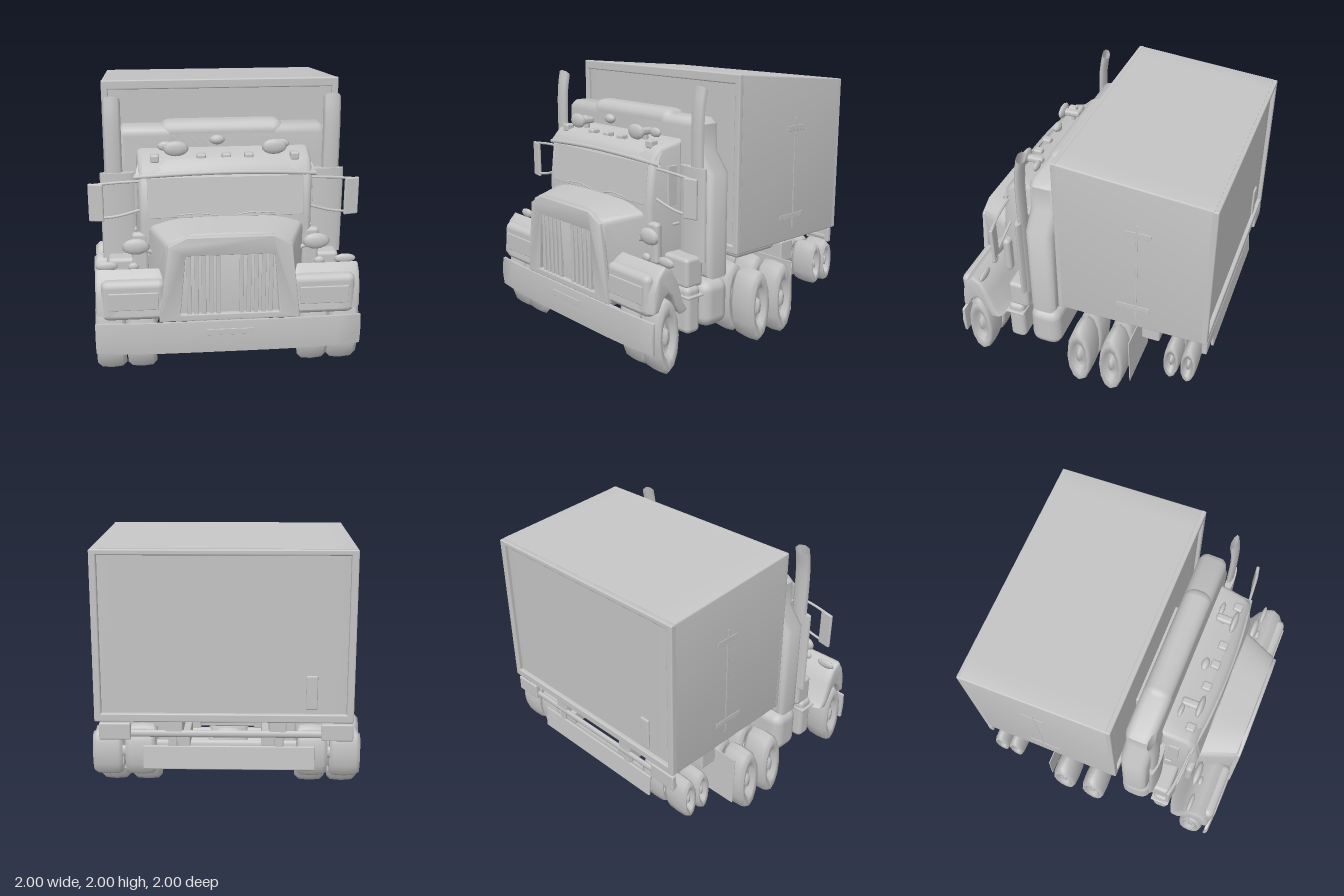
import * as THREE from 'three';
import { toCreasedNormals } from 'three/addons/utils/BufferGeometryUtils.js';
import { RoundedBoxGeometry } from 'three/addons/geometries/RoundedBoxGeometry.js';

export function createModel() {
  const model = new THREE.Group();
  model.name = 'haulageTruck';
  const grey = new THREE.MeshStandardMaterial({ color: 0xc4c4c4, side: THREE.DoubleSide });
  grey.name = 'plain grey';

  const put = (name, geo, x = 0, y = 0, z = 0) => {
    const m = new THREE.Mesh(geo, grey);
    m.name = name;
    m.position.set(x, y, z);
    model.add(m);
    return m;
  };
  // Box given by its limits on each axis
  const box = (name, x0, x1, y0, y1, z0, z1, r = 0.01) => {
    const w = x1 - x0, h = y1 - y0, d = z1 - z0;
    const rad = Math.min(r, w * 0.45, h * 0.45, d * 0.45);
    return put(name, new RoundedBoxGeometry(w, h, d, 2, rad), (x0 + x1) / 2, (y0 + y1) / 2, (z0 + z1) / 2);
  };
  const polygon = pts => new THREE.Shape(pts.map(p => new THREE.Vector2(...p)));
  // Move every vertex by a rule
  const bend = (geo, rule) => {
    const p = geo.attributes.position, v = new THREE.Vector3();
    for (let i = 0; i < p.count; i++) {
      rule(v.fromBufferAttribute(p, i));
      p.setXYZ(i, v.x, v.y, v.z);
    }
    return geo;
  };
  // Side profile in (z, y) extruded from x0 to x1, with an optional vertex rule
  const sideExtrude = (name, pts, x0, x1, bevel, rule = () => {}) => {
    const depth = x1 - x0 - 2 * bevel;
    const geo = new THREE.ExtrudeGeometry(polygon(pts), {
      depth, steps: 12, bevelEnabled: true, bevelSize: bevel, bevelThickness: bevel,
      bevelOffset: -bevel, bevelSegments: 3
    });
    geo.translate(0, 0, -depth / 2).rotateY(-Math.PI / 2).translate((x0 + x1) / 2, 0, 0);
    return put(name, toCreasedNormals(bend(geo, rule), 0.8));
  };
  // Front profile in (x, y) extruded from z0 to z1
  const frontExtrude = (name, shape, z0, z1, bevel) => {
    const geo = new THREE.ExtrudeGeometry(shape, {
      depth: z1 - z0 - 2 * bevel, bevelEnabled: true, bevelSize: bevel,
      bevelThickness: bevel, bevelOffset: -bevel, bevelSegments: 5
    });
    return put(name, toCreasedNormals(geo, 0.8), 0, 0, z0 + bevel);
  };
  const tube = (name, pts, r) => put(name, new THREE.TubeGeometry(
    new THREE.CatmullRomCurve3(pts.map(p => new THREE.Vector3(...p))), 16, r, 8));
  const rodX = (name, x0, x1, y, z, ry, rz) => {
    const m = put(name, new THREE.CylinderGeometry(1, 1, x1 - x0, 14).rotateZ(Math.PI / 2), (x0 + x1) / 2, y, z);
    m.scale.set(1, ry, rz);
  };
  const blob = (name, x, y, z, rx, ry, rz) =>
    put(name, new THREE.SphereGeometry(1, 10, 8), x, y, z).scale.set(rx, ry, rz);

  // Wheel: lathed tyre with a dished rim, shortened along z
  const tyre = new THREE.LatheGeometry([
    [0, -0.3], [0.5, -0.3], [0.58, -0.46], [0.85, -0.5], [0.97, -0.36], [1, 0],
    [0.97, 0.36], [0.85, 0.5], [0.58, 0.46], [0.5, 0.28], [0.25, 0.24], [0.2, 0.4], [0, 0.42]
  ].map(p => new THREE.Vector2(...p)), 12).rotateZ(-Math.PI / 2);
  const wheel = (name, s, x0, x1, y, z, ry, rz) => {
    const m = put(name, tyre, s * (x0 + x1) / 2, y, z);
    m.scale.set(x1 - x0, ry, rz);
    if (s < 0) m.rotation.y = Math.PI;
  };

  // Cargo box with sloping roof, end walls set back inside frames
  sideExtrude('cargoBox', [[0.115, 0.71], [0.115, 1.998], [-0.97, 1.903], [-0.97, 0.71]], -0.88, 0.91, 0.012);
  box('cargoFrontSeal', -0.38, 0.45, 0.8, 1.26, 0.1, 0.175);
  box('frontHeader', -0.88, 0.91, 1.93, 2.0, 0.1, 0.14);
  box('frontSill', -0.88, 0.91, 0.71, 0.77, 0.1, 0.14);
  box('rearSill', -0.88, 0.91, 0.71, 0.77, -1, -0.95);
  box('rearHeader', -0.88, 0.91, 1.86, 1.9, -1, -0.95);
  for (const x of [-0.88, 0.86]) {
    box('frontPost', x, x + 0.05, 0.71, 1.99, 0.1, 0.14);
    box('rearPost', x, x + 0.05, 0.71, 1.9, -1, -0.95);
  }
  box('rearLatch', -0.63, -0.55, 0.8, 1.04, -0.985, -0.965);
  for (const x of [-0.883, 0.908]) {
    box('sideDoorBar', x, x + 0.005, 0.8, 1.65, -0.475, -0.46);
    box('sideDoorHinge', x, x + 0.005, 1.55, 1.59, -0.57, -0.38);
    box('sideDoorHinge', x, x + 0.005, 0.88, 0.92, -0.57, -0.32);
  }

  // Bonnet, narrowing to the front and rounded towards the sides
  sideExtrude('bonnet', [[0.66, 0.44], [0.96, 0.44], [0.985, 1.05], [0.965, 1.085], [0.66, 1.12]], -0.5, 0.5, 0.03, v => {
    if (v.y > 0.95) v.y -= 0.07 * Math.pow(Math.abs(v.x) / 0.5, 4);
    v.x *= 1.14 - 0.26 * (v.z - 0.66) / 0.32;
  });
  // Grille surround and two groups of bars
  const surround = polygon([[-0.5, 0.44], [0.5, 0.44], [0.43, 1.0], [0.3, 1.07], [-0.3, 1.07], [-0.43, 1.0]]);
  surround.holes.push(new THREE.Path([[-0.35, 0.49], [-0.31, 0.93], [0.31, 0.93], [0.35, 0.49]].map(p => new THREE.Vector2(...p))));
  frontExtrude('grilleSurround', surround, 0.955, 0.998, 0.01);
  for (const s of [-1, 1])
    for (let i = 0; i < 5; i++) {
      const x = s * (0.08 + i * 0.052);
      box('grilleBar', x - 0.015, x + 0.015, 0.48, 0.94, 0.965, 0.99, 0.006);
    }

  // Cab, wider at the back, with windscreen and wipers
  sideExtrude('cab', [[0.41, 0.55], [0.67, 0.55], [0.705, 1.09], [0.66, 1.45], [0.6, 1.51], [0.41, 1.55]], -0.65, 0.65, 0.03, v => {
    v.x *= 1 - Math.max(0, v.z - 0.5) * 0.3;
    if (v.y > 1.42) v.x *= 1 - (v.y - 1.42) * 0.3;
  });
  box('windscreen', -0.56, 0.56, 1.11, 1.4, 0.681, 0.69, 0.004).rotation.x = -0.124;
  for (const s of [-1, 1])
    tube('wiper', [[s * 0.06, 1.12, 0.705], [s * 0.2, 1.14, 0.705], [s * 0.35, 1.13, 0.705]], 0.005);
  // Sun visor bowed forward in the middle
  put('sunVisor', toCreasedNormals(bend(new THREE.PlaneGeometry(1.3, 1, 12, 3), v => {
    const t = v.y + 0.5, e = (v.x / 0.65) ** 2;
    v.x *= 1 - 0.05 * t;
    v.y = 1.425 - 0.03 * e + 0.1 * t;
    v.z = 0.7 - 0.05 * e - 0.08 * t * t;
  }), 1));
  tube('visorLip', [[-0.65, 1.4, 0.645], [-0.35, 1.425, 0.68], [0, 1.435, 0.69], [0.35, 1.425, 0.68], [0.65, 1.4, 0.645]], 0.016);
  // Roof lights, beacon and horns
  for (const x of [-0.5, -0.17, 0.01, 0.17, 0.5])
    box('roofLight', x - 0.032, x + 0.032, 1.49, 1.55, 0.55, 0.62, 0.015);
  blob('roofBeacon', -0.05, 1.63, 0.52, 0.055, 0.035, 0.03);
  for (const s of [-1, 1]) {
    blob('hornBell', s * 0.35, 1.59, 0.6, 0.09, 0.055, 0.025);
    blob('hornBell', s * 0.42, 1.58, 0.48, 0.06, 0.035, 0.02);
    box('hornTrumpet', s * 0.35 - 0.03, s * 0.35 + 0.03, 1.56, 1.61, 0.46, 0.6, 0.02);
    box('hornFoot', s * 0.35 - 0.02, s * 0.35 + 0.02, 1.5, 1.58, 0.5, 0.53);
  }

  // Sleeper with well rounded edges and a raised middle roof
  frontExtrude('sleeper', polygon([[-0.88, 0.57], [0.88, 0.57], [0.88, 1.33], [0.77, 1.47], [0.77, 1.66],
    [0.72, 1.7], [-0.72, 1.7], [-0.77, 1.66], [-0.77, 1.47], [-0.88, 1.33]]), 0.18, 0.395, 0.06);
  box('sleeperRoof', -0.46, 0.46, 1.3, 1.735, 0.185, 0.395, 0.08);

  // Thin front bumper bowed slightly back at the ends, with plate
  sideExtrude('bumper', [[0.965, 0.185], [0.985, 0.185], [0.996, 0.3], [0.985, 0.425], [0.965, 0.425]], -0.95, 0.95, 0.006, v => {
    const e = (v.x / 0.95) ** 4;
    v.z -= 0.02 * e;
    if (v.y < 0.3) v.y += 0.015 * e;
  });
  box('numberPlate', -0.17, 0.17, 0.325, 0.37, 0.991, 1.0, 0.002);

  for (const s of [-1, 1]) {
    // Mirrored box limits
    const sbox = (name, a, b, ...rest) => s > 0 ? box(name, a, b, ...rest) : box(name, -b, -a, ...rest);
    // Front wing, drawn in towards its outer edge
    const wing = [[0.975, 0.48], [0.965, 0.62], [0.92, 0.73], [0.85, 0.79], [0.77, 0.75], [0.7, 0.64], [0.65, 0.5],
      [0.6, 0.44], [0.68, 0.42], [0.74, 0.5], [0.78, 0.57], [0.82, 0.59], [0.87, 0.56], [0.92, 0.48]];
    sideExtrude('frontWing', wing, s > 0 ? 0.46 : -0.94, s > 0 ? 0.94 : -0.46, 0.02, v => {
      const e = Math.max(0, Math.abs(v.x) - 0.75) / 0.19;
      v.z += (0.82 - v.z) * 0.2 * e * e;
    });
    // Lamp pod and lamps
    sbox('lampPod', 0.45, 0.9, 0.44, 0.74, 0.86, 0.97, 0.05);
    sbox('headlamp', 0.5, 0.85, 0.53, 0.66, 0.965, 0.98, 0.006);
    blob('wingLamp', s * 0.65, 0.915, 0.74, 0.1, 0.06, 0.03);
    blob('wingMarker', s * 0.86, 0.785, 0.77, 0.08, 0.035, 0.02);
    blob('wingMarker', s * 0.67, 0.78, 0.78, 0.04, 0.03, 0.02);
    tube('lampBracket', [[s * 0.5, 0.85, 0.72], [s * 0.57, 0.88, 0.73], [s * 0.65, 0.9, 0.74]], 0.015);
    // Door details
    sbox('doorWindow', 0.63, 0.65, 1.1, 1.38, 0.48, 0.56, 0.003);
    sbox('airCleaner', 0.56, 0.68, 0.7, 1.0, 0.64, 0.7, 0.03);
    sbox('doorHandle', 0.64, 0.66, 0.95, 0.97, 0.46, 0.52);
    // Exhaust muffler and stack
    put('muffler', new THREE.CylinderGeometry(1, 1, 0.66, 16), s * 0.77, 1.05, 0.44).scale.set(0.13, 1, 0.03);
    const stack = tube('exhaustStack', [[0, 0.7, 0], [0, 1.2, 0], [0, 1.68, 0], [0, 1.8, -0.02], [0, 1.91, -0.07]], 0.065);
    stack.position.set(s * 0.8, 0, 0.43);
    stack.scale.set(1, 1, 0.4);
    // Mirror on two arms
    sbox('mirror', 0.87, 0.98, 1.07, 1.35, 0.6, 0.625, 0.01).rotation.y = s * 0.2;
    for (const y of [1.11, 1.36])
      tube('mirrorArm', [[s * 0.6, y + (y < 1.2 ? 0.05 : 0.01), 0.64], [s * 0.78, y, 0.63], [s * 0.95, y - 0.02, 0.61]], 0.01);
    // Steps, lower cab panel and fuel tank
    sbox('stepBox', 0.5, 0.88, 0.21, 0.56, 0.46, 0.59, 0.04);
    sbox('stepTread', 0.6, 0.9, 0.48, 0.5, 0.45, 0.6);
    sbox('underCabPanel', 0.4, 0.86, 0.54, 0.76, 0.42, 0.58, 0.03);
    sbox('fuelTank', 0.35, 0.88, 0.2, 0.55, 0.17, 0.415, 0.08);
    // Wheels
    wheel('frontWheelInner', s, 0.52, 0.73, 0.285, 0.82, 0.28, 0.1);
    wheel('frontWheelOuter', s, 0.74, 0.95, 0.285, 0.82, 0.28, 0.1);
    for (const z of [-0.04, -0.3]) {
      wheel('driveWheelInner', s, 0.52, 0.75, 0.295, z, 0.28, 0.1);
      wheel('driveWheelOuter', s, 0.77, 1.0, 0.295, z, 0.28, 0.1);
      rodX('brakeDrum', s * 0.47 - 0.07, s * 0.47 + 0.07, 0.3, z, 0.14, 0.05);
      blob('airSpring', s * 0.36, 0.44, z - 0.06, 0.09, 0.09, 0.04);
    }
    for (const z of [-0.75, -0.88]) {
      wheel('trailerWheelInner', s, 0.5, 0.71, 0.455, z, 0.17, 0.06);
      wheel('trailerWheelOuter', s, 0.73, 0.94, 0.455, z, 0.17, 0.06);
    }
    // Mud flap
    sbox('mudFlap', 0.52, 0.95, 0.15, 0.55, -0.44, -0.432, 0.003).rotation.x = 0.04;
    // Frame rails and trailer running gear
    sbox('chassisRail', 0.2, 0.29, 0.49, 0.6, -0.46, 0.7);
    sbox('trailerRail', 0.3, 0.42, 0.61, 0.72, -0.98, 0.03);
    sbox('trailerSubframe', 0.25, 0.4, 0.52, 0.62, -0.95, -0.64);
    sbox('underrunArm', 0.34, 0.4, 0.42, 0.65, -0.97, -0.95);
    sbox('toolBox', 0.45, 0.8, 0.49, 0.66, -0.62, -0.48, 0.015);
    sbox('landingLeg', 0.42, 0.5, 0.4, 0.72, -0.67, -0.63);
    sbox('rearLamp', 0.66, 0.88, 0.58, 0.7, -1, -0.96);
    sbox('frontSpring', 0.4, 0.49, 0.15, 0.26, 0.72, 0.92, 0.02);
  }

  // Axles, cross members and underside
  rodX('frontAxle', -0.75, 0.75, 0.29, 0.82, 0.05, 0.03);
  for (const z of [-0.04, -0.3]) {
    rodX('driveAxle', -0.8, 0.8, 0.3, z, 0.06, 0.03);
    blob('differential', 0, 0.32, z, 0.17, 0.13, 0.07);
  }
  for (const z of [-0.75, -0.88]) rodX('trailerAxle', -0.75, 0.75, 0.46, z, 0.04, 0.02);
  for (const z of [0.5, 0.1, -0.17, -0.42]) box('crossMember', -0.25, 0.25, 0.5, 0.58, z - 0.02, z + 0.02);
  box('couplingPlate', -0.4, 0.4, 0.6, 0.64, -0.3, 0.05);
  box('underFloorPan', -0.8, 0.8, 0.63, 0.72, -0.4, 0.02, 0.03);
  box('engineBlock', -0.3, 0.3, 0.3, 0.6, 0.45, 0.9, 0.06);
  box('gearbox', -0.17, 0.17, 0.32, 0.55, 0.2, 0.46, 0.06);
  tube('driveShaft', [[0, 0.4, 0.22], [0, 0.36, 0.05], [0, 0.32, -0.3]], 0.035);
  box('underrunBar', -0.62, 0.58, 0.36, 0.53, -0.98, -0.96, 0.008).rotation.x = 0.1;
  rodX('rearCrossTube', -0.85, 0.85, 0.62, -0.97, 0.025, 0.015);

  return model;
}
